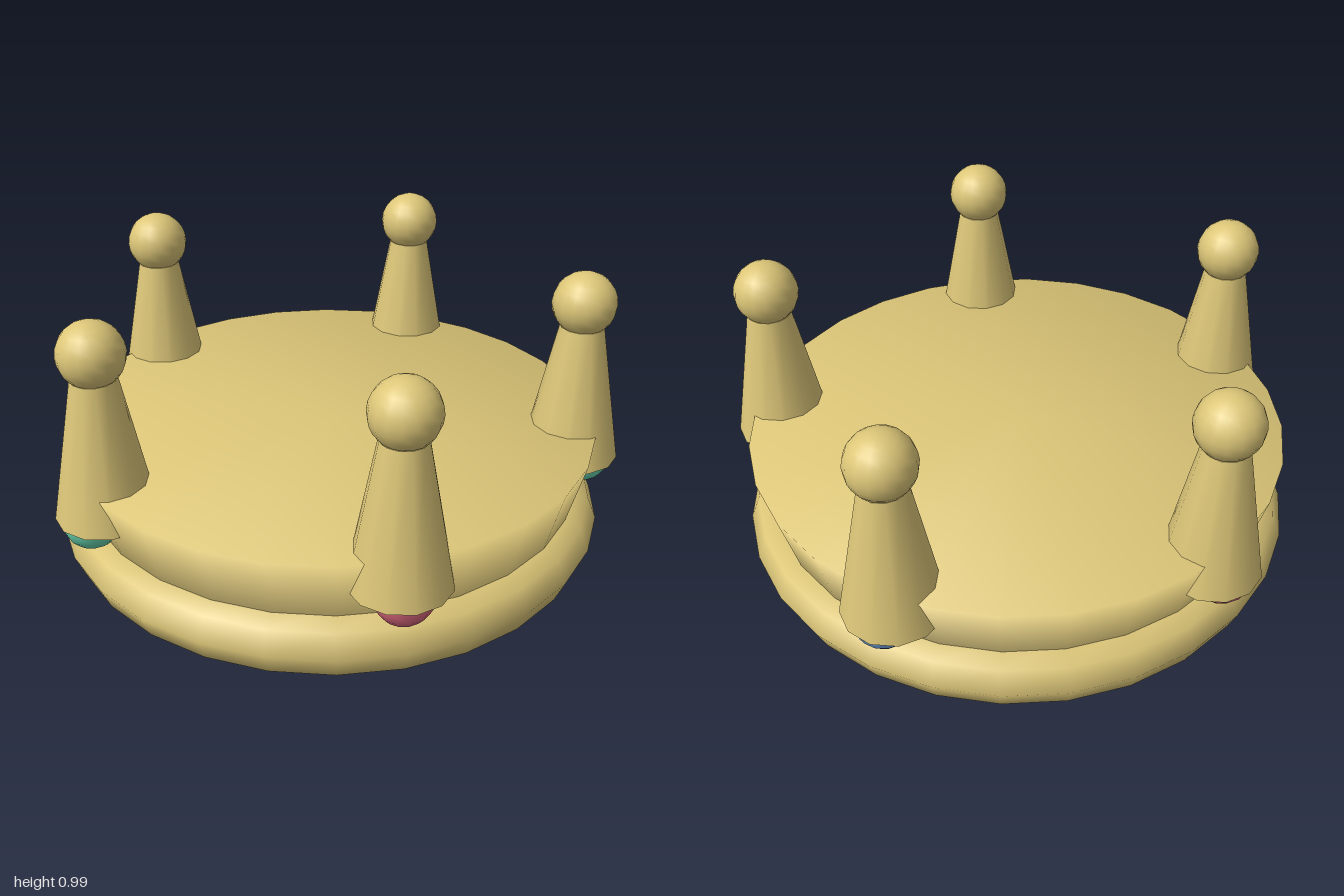
import * as THREE from 'three';

export function createModel() {
  const group = new THREE.Group();
  group.name = 'crown';
  const mat = (name, color) => {
    const m = new THREE.MeshStandardMaterial({ color });
    m.name = name;
    return m;
  };
  const gold = mat('gold', 0xdcc678);
  const gemMats = [mat('rose', 0xd8667c), mat('teal', 0x68d4b0), mat('blue', 0x70a2da)];
  const add = (parent, name, geo, material, x = 0, y = 0, z = 0) => {
    const mesh = new THREE.Mesh(geo, material);
    mesh.name = name;
    mesh.position.set(x, y, z);
    parent.add(mesh);
    return mesh;
  };

  // the ring sits slightly behind the middle so that the points are centred in depth
  const cz = -0.035;

  // rolled rim at the base
  const rim = new THREE.TorusGeometry(0.855, 0.112, 8, 28);
  rim.rotateX(-Math.PI / 2);
  add(group, 'baseRim', rim, gold, 0, 0.112, cz);

  // solid flared band, softly shaded over its flat top and bottom
  const profile = [[0, 0.1], [0.85, 0.1], [0.935, 0.435], [0, 0.435]];
  const band = new THREE.LatheGeometry(profile.map(([r, y]) => new THREE.Vector2(r, y)), 28);
  add(group, 'band', band, gold, 0, 0, cz);

  // five points, each with a ball on top and a gem below
  const spike = new THREE.CylinderGeometry(0.075, 0.168, 0.49, 12);
  const ball = new THREE.SphereGeometry(0.11, 16, 12);
  const gem = new THREE.SphereGeometry(1, 12, 10);
  gem.scale(0.1, 0.105, 0.083);
  for (let i = 0; i < 5; i++) {
    const a = (i / 5) * Math.PI * 2;
    const s = Math.sin(a), c = Math.cos(a);
    const point = new THREE.Group();
    point.name = 'point' + (i + 1);
    add(point, 'spike', spike, gold, 0.86 * s, 0.555, cz + 0.86 * c);
    add(point, 'ball', ball, gold, 0.86 * s, 0.882, cz + 0.86 * c);
    add(point, 'gem', gem, gemMats[i % 3], 0.915 * s, 0.303, cz + 0.915 * c);
    group.add(point);
  }
  return group;
}
